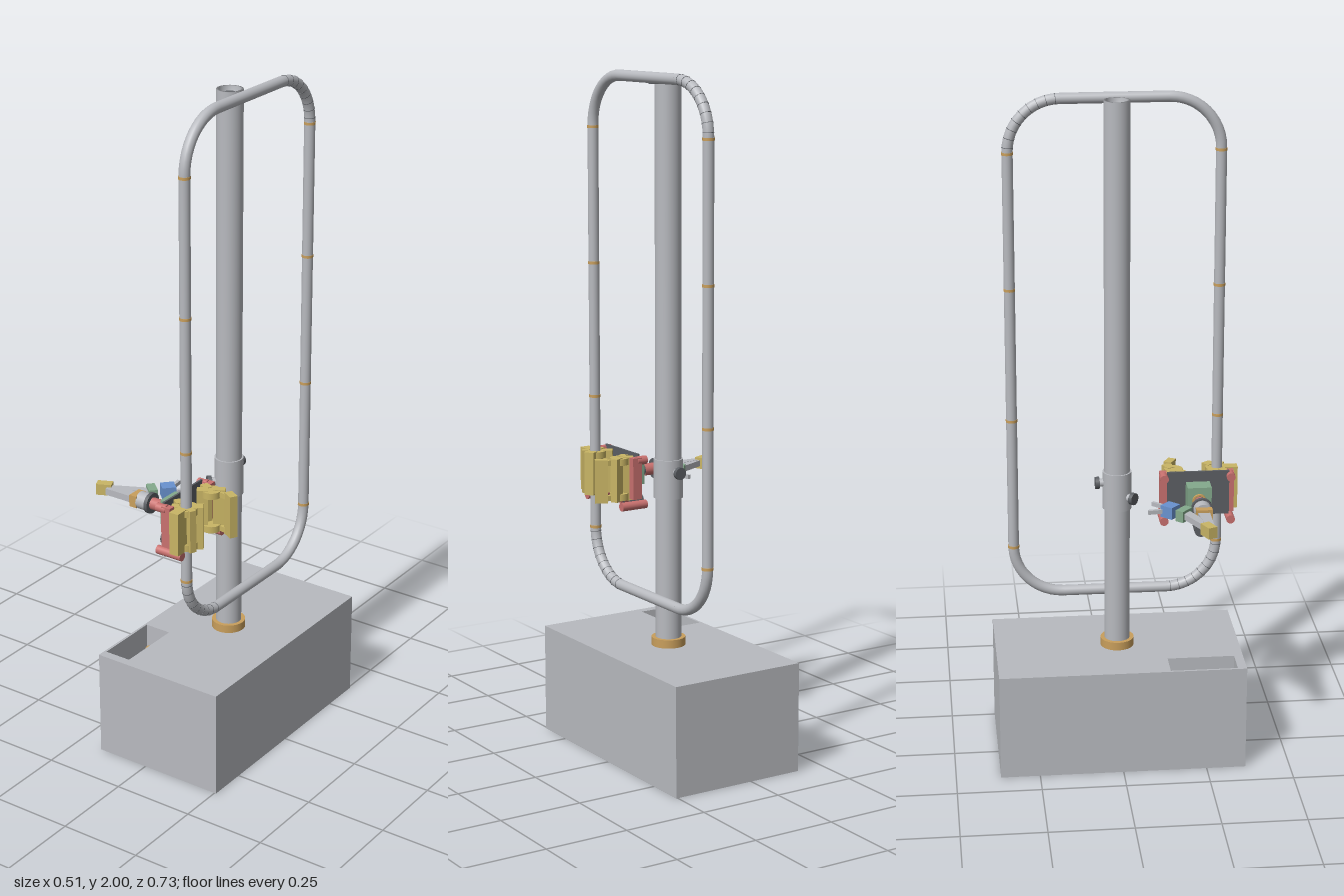
import * as THREE from 'three';

const mat = (name, color) => {
  const m = new THREE.MeshStandardMaterial({ color });
  m.name = name;
  return m;
};

export function createModel() {
  const grey = mat('light grey', 0xb8babf);
  const dark = mat('dark grey', 0x5c5f64);
  const yellow = mat('mustard', 0xc9b565);
  const orange = mat('brass', 0xc99f5c);
  const red = mat('dull red', 0xc9716f);
  const green = mat('sage green', 0x84aa8c);
  const board = mat('board green', 0x5cb48f);
  const blue = mat('blue', 0x6992cf);

  const model = new THREE.Group();
  let parent = model;
  const section = (name) => {
    parent = new THREE.Group();
    parent.name = name;
    model.add(parent);
  };
  const add = (name, geo, material, x = 0, y = 0, z = 0) => {
    const m = new THREE.Mesh(geo, material);
    m.name = name;
    m.position.set(x, y, z);
    parent.add(m);
    return m;
  };
  // Box from its limits along each axis
  const span = (name, material, x0, x1, y0, y1, z0, z1) =>
    add(name, new THREE.BoxGeometry(x1 - x0, y1 - y0, z1 - z0), material,
      (x0 + x1) / 2, (y0 + y1) / 2, (z0 + z1) / 2);
  // Upright cylinder
  const post = (name, material, r, y0, y1, x, z, sides = 32) =>
    add(name, new THREE.CylinderGeometry(r, r, y1 - y0, sides), material, x, (y0 + y1) / 2, z);
  // Cylinder lying along x
  const rod = (name, material, r, x0, x1, y, z) => {
    const m = add(name, new THREE.CylinderGeometry(r, r, x1 - x0, 24), material, (x0 + x1) / 2, y, z);
    m.rotation.z = Math.PI / 2;
    return m;
  };
  // Box turned about the vertical axis
  const turned = (name, material, w, h, d, x, y, z, angle) => {
    const m = add(name, new THREE.BoxGeometry(w, h, d), material, x, y, z);
    m.rotation.y = angle;
    return m;
  };
  // Flat outline in x and z, thickened upwards from y0
  const slab = (name, material, points, y0, y1, hole) => {
    const pts = (list) => list.map(([x, z]) => new THREE.Vector2(x, -z));
    const shape = new THREE.Shape(pts(points));
    if (hole) shape.holes.push(new THREE.Path(pts(hole)));
    const geo = new THREE.ExtrudeGeometry(shape, { depth: y1 - y0, bevelEnabled: false });
    geo.rotateX(-Math.PI / 2);
    return add(name, geo, material, 0, y0, 0);
  };
  const rect = (x0, x1, z0, z1) => [[x0, z0], [x0, z1], [x1, z1], [x1, z0]];

  // Base block with an open pocket holding a board
  section('base');
  span('baseBottom', grey, -0.165, 0.255, 0, 0.22, -0.367, 0.367);
  slab('baseTop', grey, rect(-0.165, 0.255, -0.367, 0.367), 0.22, 0.325, rect(-0.158, -0.075, 0.14, 0.34));
  span('circuitBoard', board, -0.158, -0.075, 0.22, 0.226, 0.14, 0.34);
  for (const z of [0.175, 0.303]) post('boardTerminal', orange, 0.017, 0.226, 0.275, -0.116, z);

  // Hollow mast with its foot collar, sleeve and clamp screws
  section('mast');
  const px = 0.045;
  const profile = [[0, 1.93], [0.031, 1.93], [0.031, 1.99], [0.038, 1.99], [0.038, 0.325]];
  add('mastTube', new THREE.LatheGeometry(
    profile.reverse().map(([r, y]) => new THREE.Vector2(r, y)), 32), grey, px);
  post('mastCore', dark, 0.017, 1.93, 1.98, px, 0);
  post('footCollar', orange, 0.05, 0.325, 0.35, px, 0);
  post('sleeve', grey, 0.043, 0.77, 0.885, px, 0);
  for (const [a, y] of [[-1.6, 0.85], [2.3, 0.81]]) {
    const dir = new THREE.Vector3(Math.cos(a), 0, Math.sin(a));
    [[0.05, 0.012, 0.022, grey], [0.059, 0.018, 0.012, dark]].forEach(([r, rad, len, m]) => {
      const screw = add('clampScrew', new THREE.CylinderGeometry(rad, rad, len, 20), m,
        px + dir.x * r, y, dir.z * r);
      screw.quaternion.setFromUnitVectors(new THREE.Vector3(0, 1, 0), dir);
    });
  }
  span('railLink', dark, 0.078, 0.105, 1.965, 1.98, -0.008, 0.008);

  // Closed rail: four straight runs and four rounded corners
  section('rail');
  const rx = 0.11, rr = 0.016, bend = 0.15, zc = 0.305, yLow = 0.479, yHigh = 1.984;
  for (const s of [-1, 1]) {
    post('railUpright', grey, rr, yLow + bend, yHigh - bend, rx, s * zc, 20);
    for (const y of [0.63, 1.03, 1.43, 1.83]) post('railJoint', orange, rr + 0.001, y - 0.004, y + 0.004, rx, s * zc, 20);
  }
  for (const y of [yLow, yHigh]) {
    const run = add('railCrossRun', new THREE.CylinderGeometry(rr, rr, 2 * (zc - bend), 20), grey, rx, y, 0);
    run.rotation.x = Math.PI / 2;
  }
  for (let i = 0; i < 4; i++) {
    const geo = new THREE.TorusGeometry(bend, rr, 16, 12, Math.PI / 2);
    geo.rotateZ(i * Math.PI / 2);
    geo.rotateY(-Math.PI / 2);
    add('railCorner', geo, grey, rx,
      i < 2 ? yHigh - bend : yLow + bend, (i === 0 || i === 3 ? 1 : -1) * (zc - bend));
    // Thin seams on the two segmented corners
    if (i === 1 || i === 3) {
      for (let k = 0; k < 9; k++) {
        const a = i * Math.PI / 2 + (k + 0.5) * Math.PI / 18;
        const seam = add('railSeam', new THREE.CylinderGeometry(rr + 0.0006, rr + 0.0006, 0.0015, 16), dark, rx,
          (i === 1 ? yHigh - bend : yLow + bend) + Math.sin(a) * bend,
          (i === 3 ? 1 : -1) * (zc - bend) + Math.cos(a) * bend);
        seam.rotation.x = -a;
      }
    }
  }

  // Carriage plate with roller jaws gripping the rail
  section('carriage');
  span('backPlate', dark, 0.05, 0.056, 0.735, 0.872, 0.15, 0.335);
  const yMid = 0.8, h = 0.13;
  // width, depth, x, z, turn of each jaw block
  const jaws = [
    [0.03, 0.045, 0.11, 0.344, 0], [0.028, 0.03, 0.138, 0.284, 0.6], [0.028, 0.03, 0.076, 0.288, -0.6],
    [0.022, 0.02, 0.136, 0.318, -0.4], [0.022, 0.02, 0.083, 0.32, 0.4],
    [0.038, 0.024, 0.17, 0.171, -0.5], [0.035, 0.022, 0.123, 0.16, 0.5], [0.032, 0.024, 0.084, 0.19, 0.6],
    [0.03, 0.024, 0.08, 0.165, -0.4],
  ];
  for (const [w, d, x, z, a] of jaws) turned('jaw', yellow, w, h, d, x, yMid, z, a);
  for (const y of [0.737, 0.843]) {
    post('jawHub', yellow, 0.034, y, y + 0.02, 0.11, 0.305);
    post('jawHub', yellow, 0.028, y, y + 0.02, 0.105, 0.175);
    turned('jawBridge', yellow, 0.06, 0.016, 0.014, 0.14, y + 0.01, 0.167, -0.1);
  }
  for (const z of [0.14, 0.339]) {
    span('motorMount', red, 0.055, 0.085, 0.74, 0.865, z - 0.011, z + 0.011);
    rod('motor', red, 0.013, 0.035, 0.068, 0.855, z);
    rod('lowerMotor', red, 0.013, 0.035, 0.12, 0.721, z);
  }
  rod('camera', dark, 0.02, -0.012, 0.035, 0.708, 0.245);
  rod('cameraMount', red, 0.01, 0.035, 0.06, 0.715, 0.245);
  span('cameraBracket', dark, 0.05, 0.056, 0.705, 0.74, 0.235, 0.255);

  // Arm: shoulder on the plate, elbow at the far end, gripper folded back
  section('arm');
  span('shoulderBox', green, -0.002, 0.05, 0.765, 0.84, 0.205, 0.276);
  rod('shoulderFlange', orange, 0.021, -0.01, -0.002, yMid, 0.239);
  rod('shoulderRing', dark, 0.016, -0.018, -0.01, yMid, 0.239);
  rod('shoulderShaft', red, 0.018, -0.057, -0.018, yMid, 0.239);
  rod('wristDisc', dark, 0.031, -0.067, -0.056, yMid, 0.239);
  rod('upperHousing', grey, 0.026, -0.1, -0.067, yMid, 0.239);
  span('shoulderJoint', orange, -0.123, -0.098, 0.782, 0.818, 0.216, 0.263);
  slab('upperArm', grey, [[-0.122, 0.22], [-0.215, 0.23], [-0.215, 0.255], [-0.122, 0.255]], 0.79, 0.81);
  turned('elbow', yellow, 0.046, 0.034, 0.028, -0.232, yMid, 0.237, 0.42);
  slab('forearm', grey, [[-0.222, 0.228], [-0.21, 0.25], [-0.095, 0.196], [-0.112, 0.174]], 0.791, 0.809);
  turned('wrist', green, 0.048, 0.034, 0.026, -0.102, yMid, 0.181, -0.72);
  turned('gripperBody', blue, 0.041, 0.036, 0.041, -0.07, yMid, 0.145, -0.75);
  turned('finger', grey, 0.01, 0.012, 0.042, -0.076, yMid, 0.1, 0.14);
  turned('finger', grey, 0.01, 0.012, 0.05, -0.029, yMid, 0.118, -0.75);

  return model;
}
